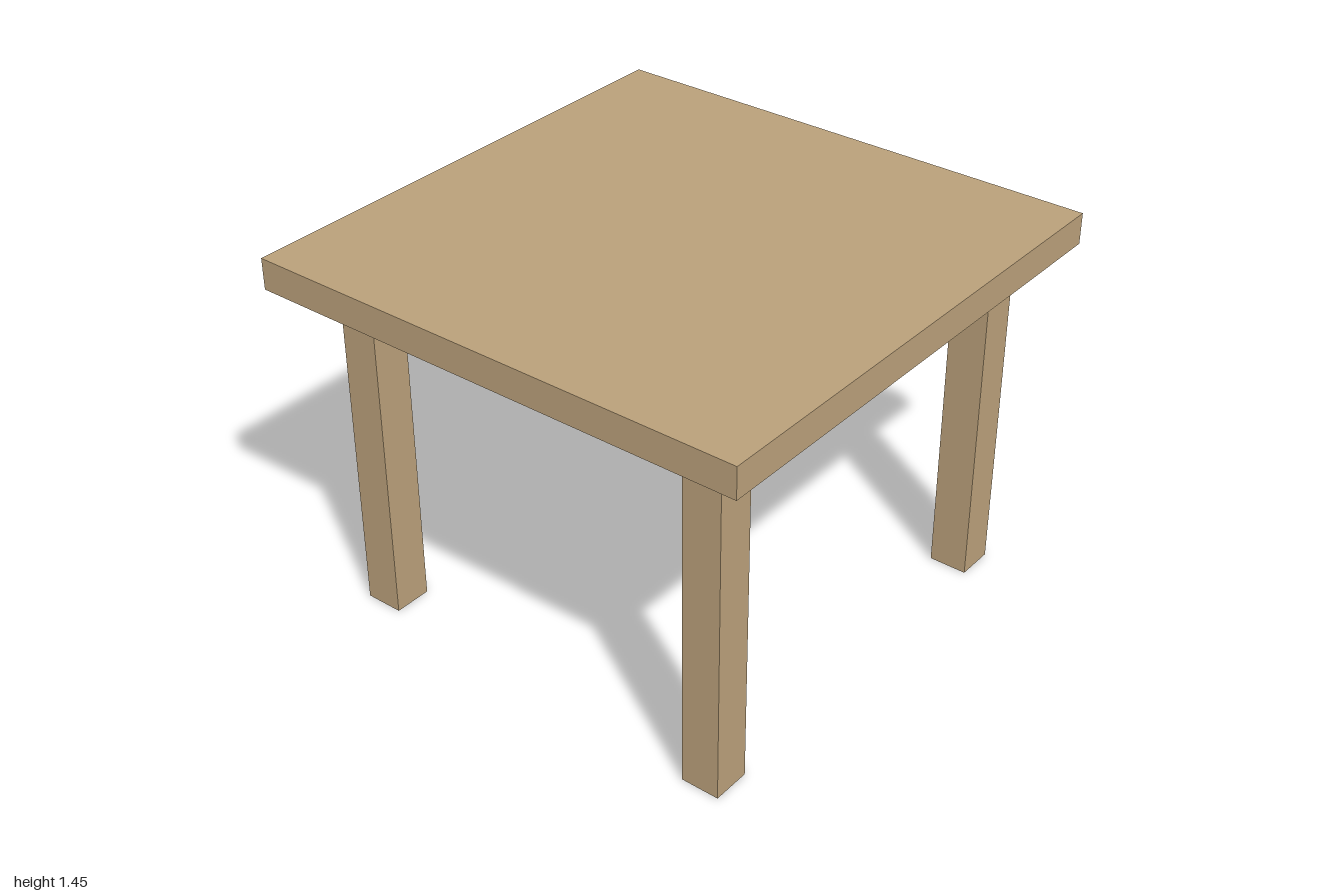
import * as THREE from 'three';

export function createModel() {
  const table = new THREE.Group();
  table.name = 'table';
  const wood = new THREE.MeshStandardMaterial({ color: 0xbaa07a });
  wood.name = 'light wood';

  const addBox = (name, size, position) => {
    const mesh = new THREE.Mesh(new THREE.BoxGeometry(...size), wood);
    mesh.name = name;
    mesh.position.set(...position);
    table.add(mesh);
  };

  // Square slab top
  const legHeight = 1.333, topThickness = 0.12, legWidth = 0.15;
  addBox('tableTop', [2, topThickness, 2], [0, legHeight + topThickness / 2, 0]);

  // Four square legs, set slightly unevenly
  const legs = [
    ['frontLeftLeg', 0.78, 0.805],
    ['frontRightLeg', -0.755, 0.745],
    ['backLeftLeg', 0.765, -0.755],
    ['backRightLeg', -0.755, -0.755],
  ];
  for (const [name, x, z] of legs) {
    addBox(name, [legWidth, legHeight, legWidth], [x, legHeight / 2, z]);
  }
  return table;
}
